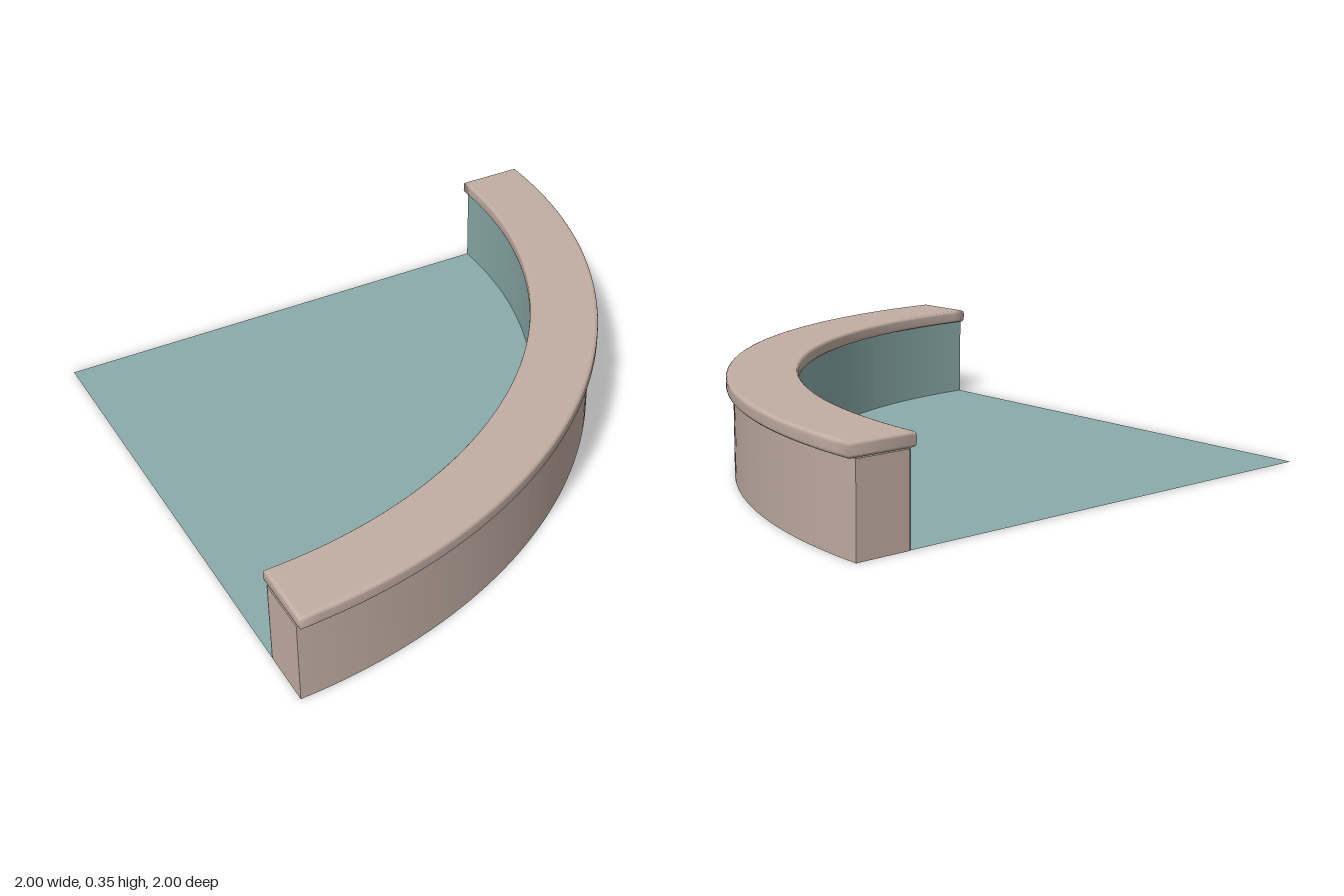
import * as THREE from 'three';
import { mergeVertices, toCreasedNormals } from 'three/addons/utils/BufferGeometryUtils.js';

const SEGMENTS = 32;
const WALL_TOP = 0.305;
const CAP_TOP = 0.355;

// Quarter-ring outline around the origin, its two ends pulled in by `inset`.
function quarterRing(inner, outer, inset = 0) {
  const a = Math.asin(inset / outer), b = Math.asin(inset / inner);
  const shape = new THREE.Shape();
  shape.absarc(0, 0, outer, a, Math.PI / 2 - a, false);
  shape.absarc(0, 0, inner, Math.PI / 2 - b, b, true);
  shape.closePath();
  return shape;
}

// Extrude an outline downwards from the height `top`.
function extrudeDown(shape, top, options) {
  const geometry = new THREE.ExtrudeGeometry(shape, { curveSegments: SEGMENTS, ...options });
  geometry.rotateX(Math.PI / 2);
  geometry.translate(0, top, 0);
  return geometry;
}

export function createModel() {
  const stone = new THREE.MeshStandardMaterial({ color: 0xc2aea4 });
  stone.name = 'warm stone';
  const teal = new THREE.MeshStandardMaterial({ color: 0x8aabaa, side: THREE.DoubleSide });
  teal.name = 'pale teal';

  const model = new THREE.Group();
  model.name = 'quarterRoundBasin';
  // All parts share the corner of the quarter circle as their centre.
  const basin = new THREE.Group();
  basin.name = 'basin';
  basin.position.set(-1, 0, -1);
  model.add(basin);

  const add = (name, geometry, material) => {
    const mesh = new THREE.Mesh(geometry, material);
    mesh.name = name;
    basin.add(mesh);
  };

  // Curved wall
  const wall = extrudeDown(quarterRing(1.775, 1.975), WALL_TOP, { depth: WALL_TOP, bevelEnabled: false });
  add('wall', toCreasedNormals(wall, 0.6), stone);

  // Overhanging coping with softened edges
  const b = 0.012;
  let cap = extrudeDown(quarterRing(1.75 + b, 2 - b, b), CAP_TOP - b, {
    depth: CAP_TOP - WALL_TOP - 2 * b,
    bevelThickness: b, bevelSize: b, bevelSegments: 3,
  });
  cap.deleteAttribute('normal');
  cap.deleteAttribute('uv');
  cap = mergeVertices(cap, 1e-4);
  cap.computeVertexNormals();
  add('coping', cap, stone);

  // Lining on the inside of the wall
  const lining = new THREE.CylinderGeometry(1.772, 1.772, WALL_TOP, SEGMENTS, 1, true, 0, Math.PI / 2);
  lining.translate(0, WALL_TOP / 2, 0);
  add('lining', lining, teal);

  // Flat floor
  const floor = new THREE.CircleGeometry(1.775, SEGMENTS, -Math.PI / 2, Math.PI / 2);
  floor.rotateX(-Math.PI / 2);
  floor.translate(0, 0.001, 0);
  add('floor', floor, teal);

  return model;
}
